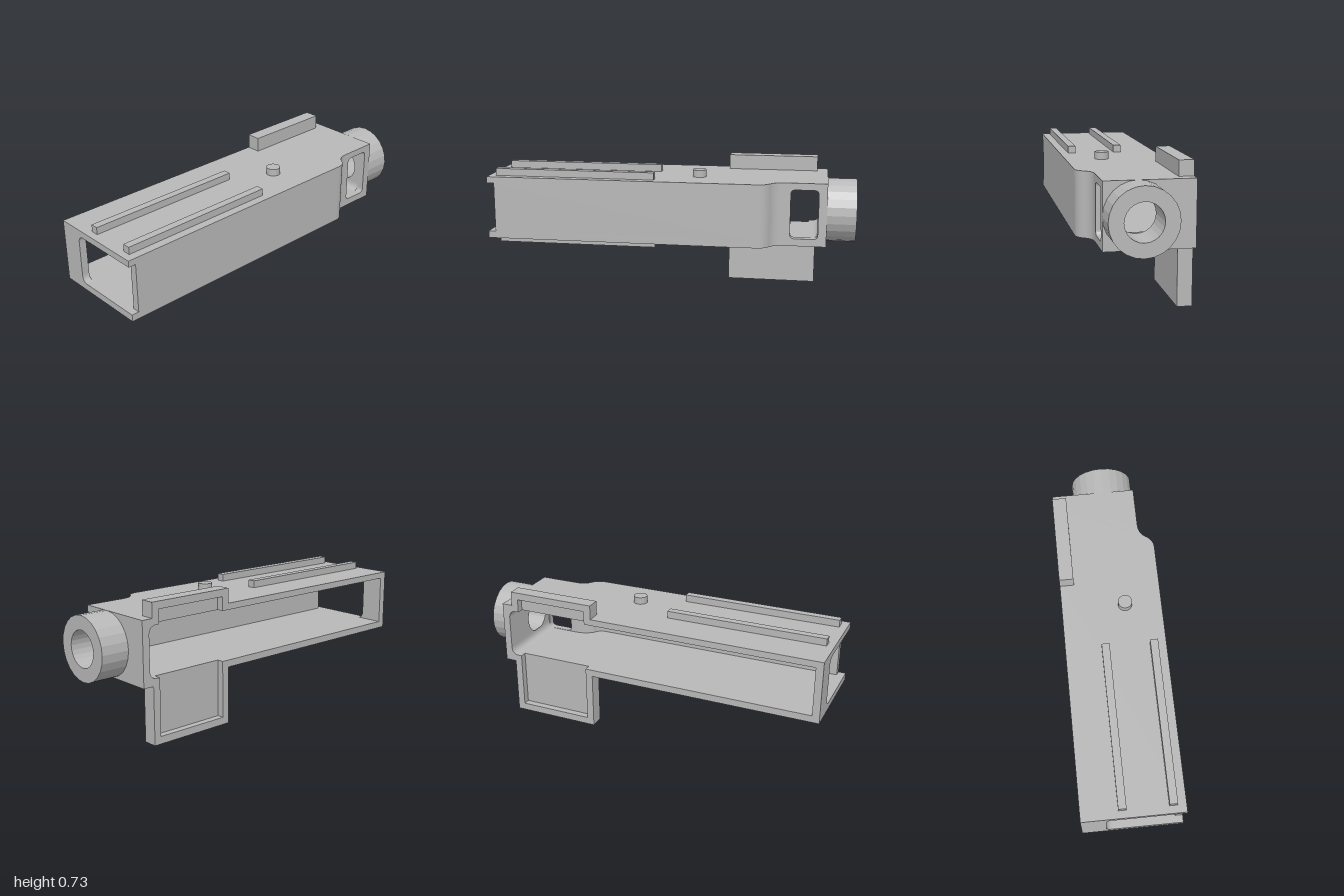
import * as THREE from 'three';

const grey = new THREE.MeshStandardMaterial({ color: 0xb8b8b8 });
grey.name = 'plain grey';

// Main levels of the hollow housing
const Y0 = 0.31, Y1 = 0.653, IN0 = 0.348, IN1 = 0.618;
const X0 = -1, X1 = 0.845, BACK = -0.27, FRONT = 0.27, STEP = 0.19, WALL = 0.04;

export function createModel() {
  const model = new THREE.Group();
  model.name = 'housing';

  function add(name, geometry) {
    const mesh = new THREE.Mesh(geometry, grey);
    mesh.name = name;
    model.add(mesh);
    return mesh;
  }
  function box(name, xa, xb, ya, yb, za, zb) {
    add(name, new THREE.BoxGeometry(xb - xa, yb - ya, zb - za))
      .position.set((xa + xb) / 2, (ya + yb) / 2, (za + zb) / 2);
  }
  const extrude = (shape, depth) =>
    new THREE.ExtrudeGeometry(shape, { depth, bevelEnabled: false, curveSegments: 12 });
  // Shapes drawn as (x, -z), raised along y
  const alongY = (shape, ya, yb) => extrude(shape, yb - ya).rotateX(-Math.PI / 2).translate(0, ya, 0);
  // Shapes drawn as (-z, y), pushed along x
  const alongX = (shape, xa, xb) => extrude(shape, xb - xa).rotateY(Math.PI / 2).translate(xa, 0, 0);
  // Shapes drawn as (x, y), pushed along z
  const alongZ = (shape, za, zb) => extrude(shape, zb - za).translate(0, 0, za);

  function rect(xa, xb, ya, yb) {
    return new THREE.Shape([[xa, ya], [xb, ya], [xb, yb], [xa, yb]].map(p => new THREE.Vector2(...p)));
  }
  function roundHole(xa, xb, ya, yb, r) {
    const p = new THREE.Path();
    p.moveTo(xa + r, ya);
    p.lineTo(xb - r, ya).quadraticCurveTo(xb, ya, xb, ya + r);
    p.lineTo(xb, yb - r).quadraticCurveTo(xb, yb, xb - r, yb);
    p.lineTo(xa + r, yb).quadraticCurveTo(xa, yb, xa, yb - r);
    p.lineTo(xa, ya + r).quadraticCurveTo(xa, ya, xa + r, ya);
    return p;
  }
  // Concave corner filler at (cx, cy), reaching r towards (sx, sy)
  function fillet(cx, cy, sx, sy, r) {
    const s = new THREE.Shape();
    s.moveTo(cx, cy);
    s.lineTo(cx + sx * r, cy);
    s.quadraticCurveTo(cx, cy, cx, cy + sy * r);
    return s;
  }
  // S-bend where the front narrows, from the deep side to the shallow side
  function bend(s, off) {
    s.lineTo(0.475, -FRONT + off);
    s.quadraticCurveTo(0.52, -FRONT + off, 0.545, -0.23 + off);
    s.quadraticCurveTo(0.57, -STEP + off, 0.62, -STEP + off);
  }

  // Roof and floor, notched at the back for the plate recess
  const RX0 = 0.33, RX1 = 0.745, RZ = -0.232;
  const slab = new THREE.Shape();
  slab.moveTo(X0, -FRONT);
  bend(slab, 0);
  for (const [x, z] of [[X1, STEP], [X1, BACK], [RX1, BACK], [RX1, RZ], [RX0, RZ], [RX0, BACK], [X0, BACK]])
    slab.lineTo(x, -z);
  add('floor', alongY(slab, Y0, IN0));
  add('roof', alongY(slab, IN1, Y1));

  // Front wall: bent strip, then a flat panel with a window
  const strip = new THREE.Shape();
  strip.moveTo(X0 + WALL, -FRONT);
  bend(strip, 0);
  strip.lineTo(0.62, -STEP + WALL);
  strip.quadraticCurveTo(0.56, -STEP + WALL, 0.52, -0.23 + WALL);
  strip.quadraticCurveTo(0.50, -FRONT + WALL, 0.455, -FRONT + WALL);
  strip.lineTo(X0 + WALL, -FRONT + WALL);
  add('frontWall', alongY(strip, IN0, IN1));
  const panel = rect(0.62, X1 - WALL, Y0, Y1);
  panel.holes.push(roundHole(0.652, 0.8, 0.35, 0.616, 0.025));
  add('windowPanel', alongZ(panel, STEP - WALL, STEP));

  // End wall with the bore, and the barrel socket
  const CY = 0.4815, CZ = 0.019, R = 0.172, BORE = 0.097;
  const bore = () => new THREE.Path().absarc(-CZ, CY, BORE, 0, Math.PI * 2, true);
  const end = rect(-STEP, -BACK, Y0, Y1);
  end.holes.push(bore());
  add('endWall', alongX(end, X1 - WALL, X1));
  const ring = new THREE.Shape().absarc(-CZ, CY, R, 0, Math.PI * 2, false);
  ring.holes.push(bore());
  add('socketTube', alongX(ring, X1, 1));

  // Open end: post at the back with rounded inner corners
  const POST = -0.14;
  box('endPost', X0, X0 + WALL, IN0, IN1, BACK, POST);
  for (const [y, sy] of [[IN0, 1], [IN1, -1]]) {
    add('postFillet', alongX(fillet(-POST, y, -1, sy, 0.04), X0, X0 + WALL));
    add('cavityFillet', alongZ(fillet(X1 - WALL, y, -1, sy, 0.045), BACK, STEP - WALL));
  }

  // Back plate: tall, recessed from behind, open where it crosses the cavity
  const PX0 = 0.29, PX1 = 0.785, PZ = -0.193, TOP = 0.733, RIM = 0.04;
  box('lowerPlatePanel', PX0, PX1, 0, Y0, RZ, PZ);
  box('lowerPlateRim', PX0, PX1, 0, RIM, BACK, RZ);
  box('upperPlatePanel', PX0, PX1, Y1, TOP, RZ, PZ);
  box('upperPlateRim', PX0, PX1, TOP - RIM, TOP, BACK, RZ);
  for (const [a, b] of [[PX0, RX0], [RX1, PX1]]) {
    box('lowerPlateSide', a, b, RIM, Y0, BACK, RZ);
    box('upperPlateSide', a, b, Y1, TOP - RIM, BACK, RZ);
  }

  // Guide rails and pins on the roof and under the floor
  for (const z of [0.203, -0.055]) box('topRail', -0.96, -0.08, Y1, 0.692, z - 0.021, z + 0.021);
  for (const z of [0.175, -0.075]) box('bottomRail', -0.96, -0.08, 0.272, Y0, z - 0.019, z + 0.019);
  for (const [name, y, z] of [['topPin', 0.6725, 0.073], ['bottomPin', 0.291, 0.049]])
    add(name, new THREE.CylinderGeometry(0.038, 0.038, 0.039, 24)).position.set(0.15, y, z);

  return model;
}
